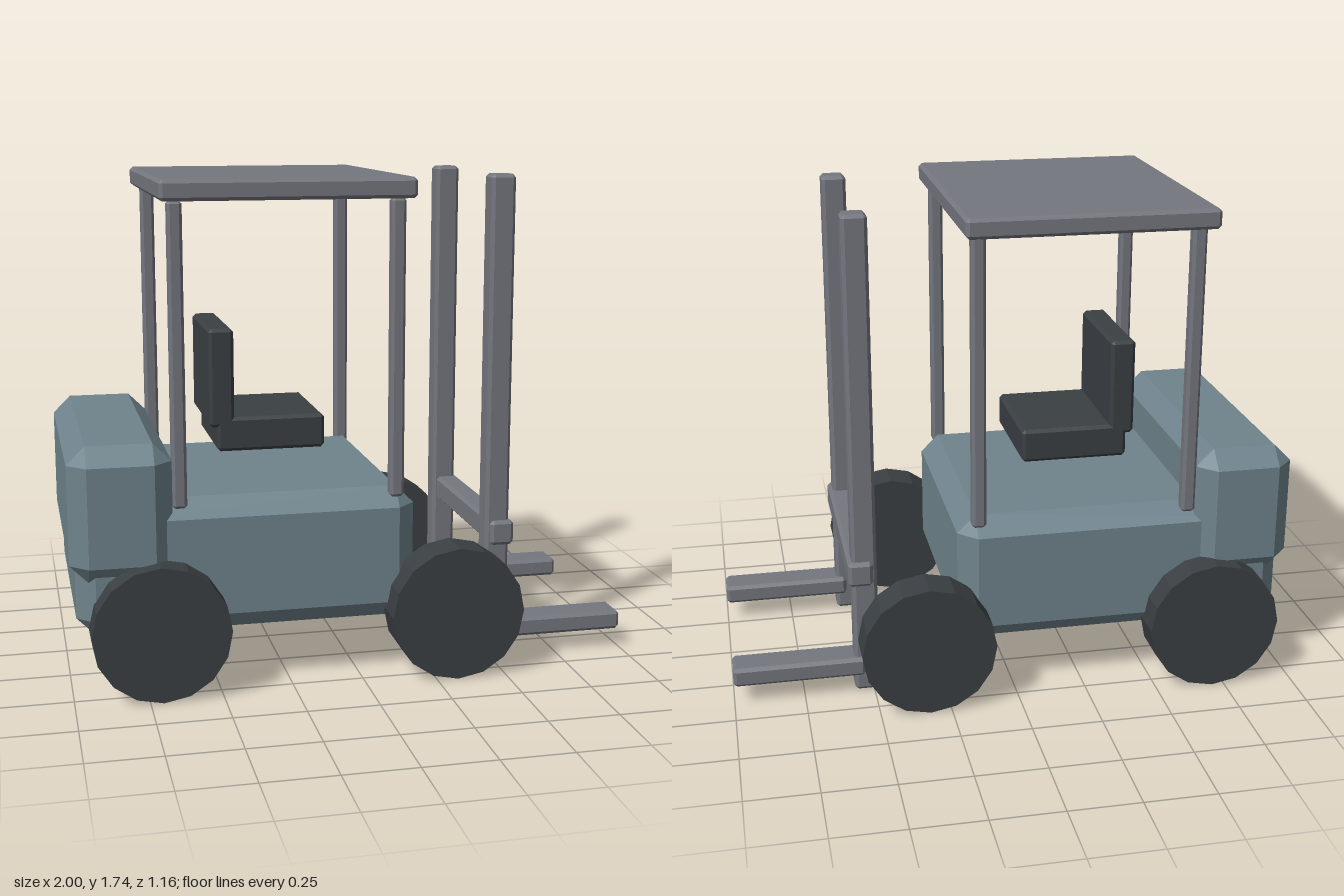
import * as THREE from 'three';
import { ConvexGeometry } from 'three/addons/geometries/ConvexGeometry.js';

const material = (color) => new THREE.MeshStandardMaterial({ color, flatShading: true });

// Box with every edge cut by a flat chamfer, given by its extents on each axis
function chamferBox([x0, x1], [y0, y1], [z0, z1], c) {
  const half = [(x1 - x0) / 2, (y1 - y0) / 2, (z1 - z0) / 2];
  const points = [];
  for (const sx of [-1, 1]) for (const sy of [-1, 1]) for (const sz of [-1, 1]) {
    for (let outer = 0; outer < 3; outer++) {
      const h = half.map((v, axis) => (axis === outer ? v : v - c));
      points.push(new THREE.Vector3(sx * h[0], sy * h[1], sz * h[2]));
    }
  }
  return new ConvexGeometry(points).translate((x0 + x1) / 2, (y0 + y1) / 2, (z0 + z1) / 2);
}

export function createModel() {
  const model = new THREE.Group();
  model.name = 'forklift';
  const paint = material(0x6f838c);
  const steel = material(0x74767e);
  const dark = material(0x3a3f43);

  const add = (name, geometry, mat) => {
    const mesh = new THREE.Mesh(geometry, mat);
    mesh.name = name;
    model.add(mesh);
    return mesh;
  };
  const box = (name, x, y, z, c, mat) => add(name, chamferBox(x, y, z, c), mat);

  // Chassis and rear counterweight
  box('body', [-0.98, 0.2], [0.2, 0.67], [-0.475, 0.475], 0.065, paint);
  box('counterweight', [-1, -0.65], [0.4, 0.87], [-0.515, 0.515], 0.063, paint);

  // Seat
  box('seatCushion', [-0.46, -0.075], [0.773, 0.895], [-0.215, 0.215], 0.012, dark);
  box('seatBack', [-0.487, -0.398], [0.86, 1.21], [-0.215, 0.215], 0.012, dark);

  // Overhead guard and lifting crossbar
  box('roof', [-0.68, 0.18], [1.67, 1.74], [-0.515, 0.515], 0.012, steel);
  box('crossbar', [0.495, 0.582], [0.42, 0.51], [-0.395, 0.395], 0.012, steel);

  // Parts mirrored across the centre line
  for (const side of [-1, 1]) {
    const span = (centre, width) => [side * centre - width / 2, side * centre + width / 2];

    for (const x of [-0.625, 0.129]) {
      box('roofPost', [x - 0.025, x + 0.025], [0.64, 1.67], span(0.438, 0.05), 0.01, steel);
    }
    box('mast', [0.48, 0.568], [0.005, 1.74], span(0.335, 0.088), 0.012, steel);
    box('fork', [0.53, 1], [0.07, 0.14], span(0.335, 0.122), 0.012, steel);

    for (const x of [-0.705, 0.325]) {
      const tyre = new THREE.CylinderGeometry(0.236, 0.236, 0.14, 16).rotateX(Math.PI / 2);
      add('wheel', tyre, dark).position.set(x, 0.238, side * 0.508);
    }
  }
  return model;
}
